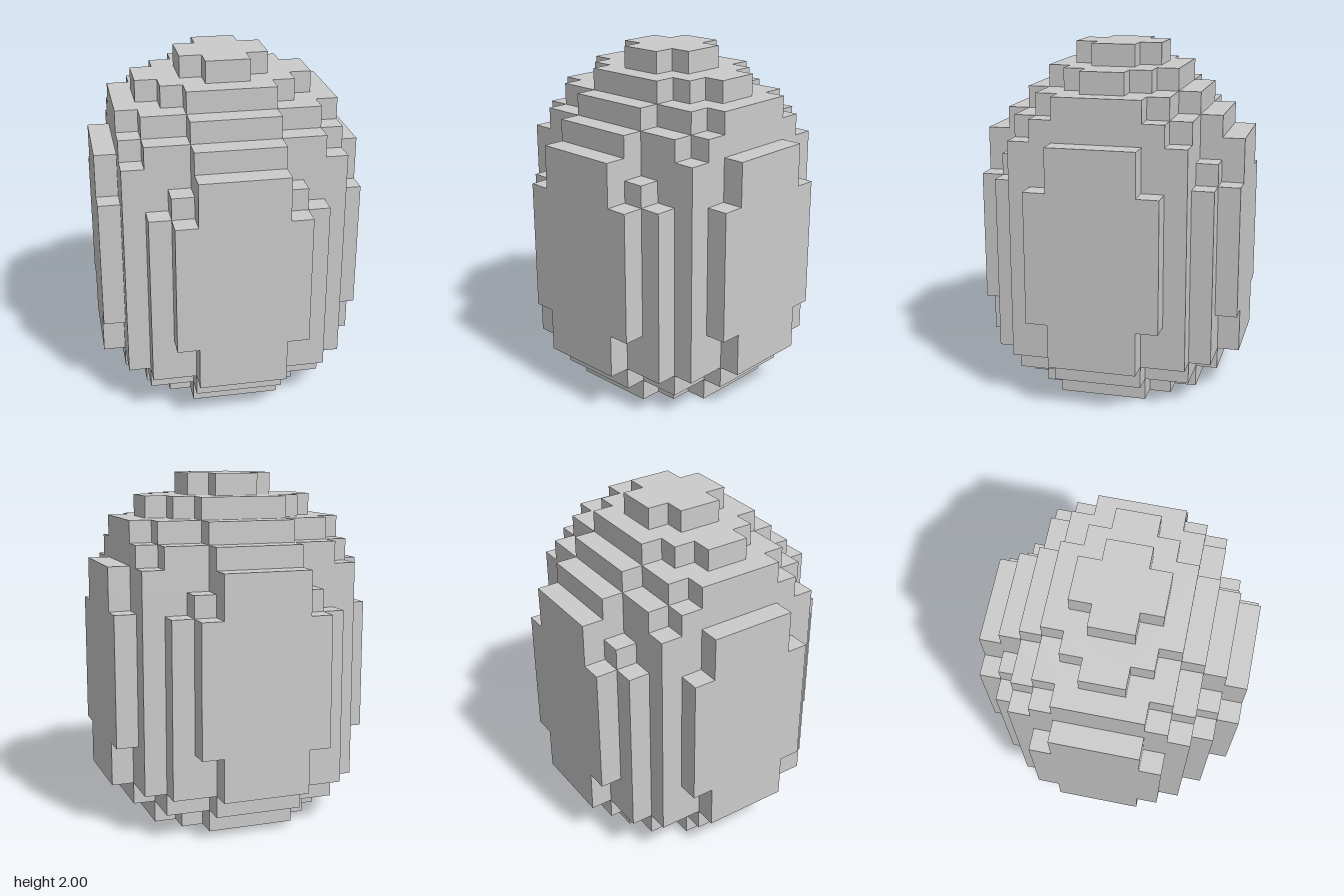
import * as THREE from 'three';

const UNIT = 0.125; // edge of one block

// Each tier: name, bottom and top (in blocks), and steps [half width in x, reach in z]
const TIERS = [
  ['base', 0, 1, [[4, 2], [3, 3], [2, 4]]],
  ['lowerStep', 1, 2, [[5, 2], [4, 4], [2, 5]]],
  ['lowerBody', 2, 4, [[6, 2], [5, 4], [4, 5], [2, 6]]],
  ['middleBody', 4, 10, [[6, 3], [5, 4], [4, 5], [3, 6]]],
  ['upperBody', 10, 11, [[6, 2], [5, 4], [3, 5], [2, 6]]],
  ['shoulder', 11, 12, [[6, 2], [5, 4], [2, 6]]],
  ['upperStep', 12, 13, [[5, 3], [4, 4], [2, 5]]],
  ['crownStep', 13, 14, [[5, 2], [4, 3], [2, 4]]],
  ['crown', 14, 15, [[4, 1], [3, 2], [2, 3]]],
  ['tip', 15, 16, [[2, 1], [1, 2]]],
];

// Stepped outline: one quarter, mirrored into the other three
function steppedOutline(steps) {
  const quarter = [];
  steps.forEach(([w, z], i) => {
    if (i > 0) quarter.push([w, steps[i - 1][1]]);
    quarter.push([w, z]);
  });
  const mirrored = (sx, sz) => quarter.map(([x, z]) => new THREE.Vector2(x * sx * UNIT, z * sz * UNIT));
  return new THREE.Shape([
    ...mirrored(1, 1),
    ...mirrored(-1, 1).reverse(),
    ...mirrored(-1, -1),
    ...mirrored(1, -1).reverse(),
  ]);
}

export function createModel() {
  const egg = new THREE.Group();
  egg.name = 'blockEgg';
  const material = new THREE.MeshStandardMaterial({ color: 0xcccccc, flatShading: true });

  for (const [name, bottom, top, steps] of TIERS) {
    const geometry = new THREE.ExtrudeGeometry(steppedOutline(steps), {
      depth: (top - bottom) * UNIT,
      bevelEnabled: false,
    });
    geometry.rotateX(-Math.PI / 2);
    const tier = new THREE.Mesh(geometry, material);
    tier.name = name;
    tier.position.y = bottom * UNIT;
    egg.add(tier);
  }
  return egg;
}
